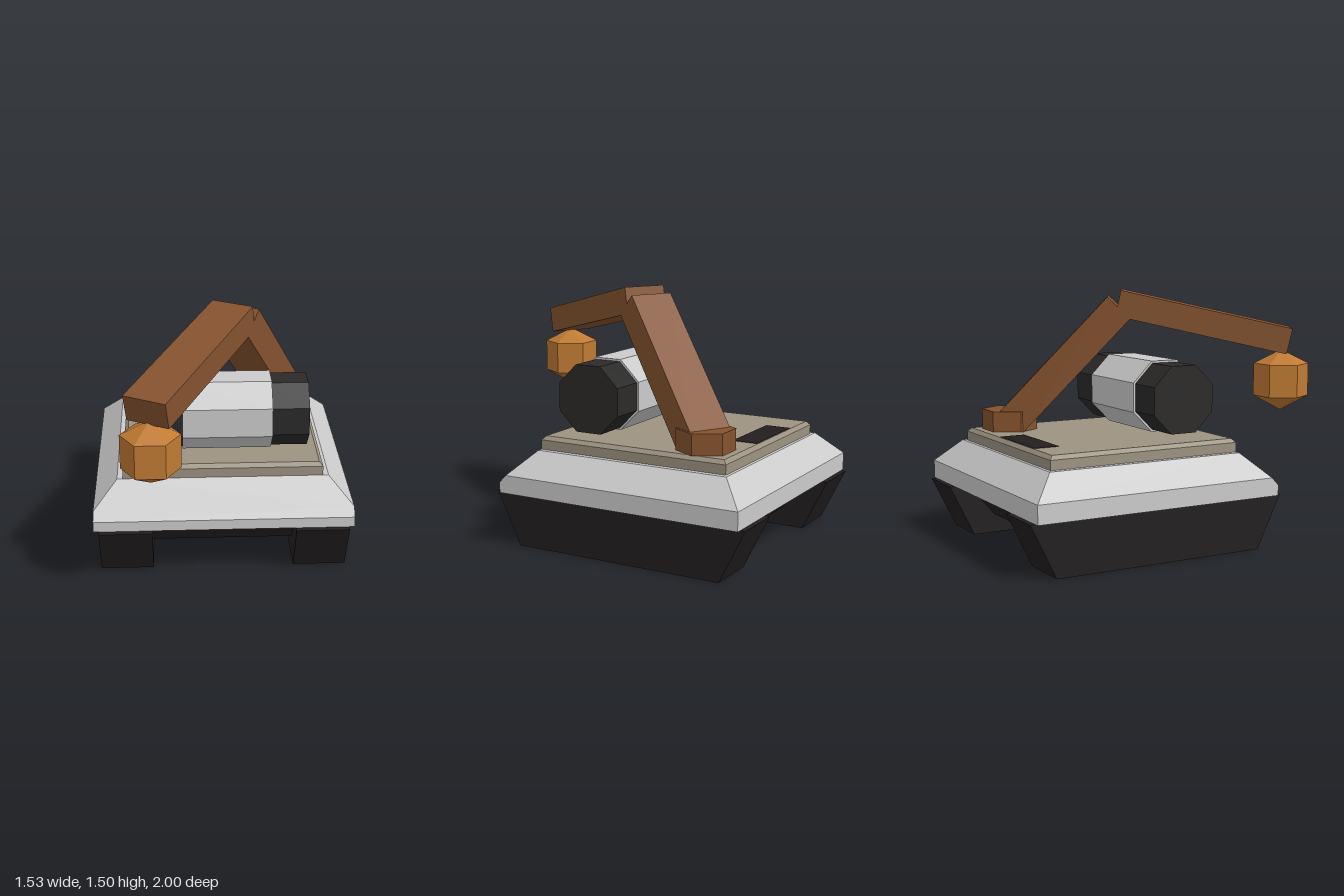
import * as THREE from 'three';
import { ConvexGeometry } from 'three/addons/geometries/ConvexGeometry.js';

const mat = (color) => new THREE.MeshStandardMaterial({ color, flatShading: true });
const grey = mat(0xcccccc);
const dark = mat(0x231f20);
const charcoal = mat(0x2b2a29);
const tan = mat(0x9c9381);
const brown = mat(0x85532f);
const orange = mat(0xc07a33);

function add(parent, name, geometry, material, x = 0, y = 0, z = 0) {
  const mesh = new THREE.Mesh(geometry, material);
  mesh.name = name;
  mesh.position.set(x, y, z);
  parent.add(mesh);
  return mesh;
}

// Solid wrapped around stacked rectangles, each [y, x0, x1, z0, z1]
function stacked(layers) {
  const points = [];
  for (const [y, x0, x1, z0, z1] of layers)
    for (const x of [x0, x1]) for (const z of [z0, z1]) points.push(new THREE.Vector3(x, y, z));
  return new ConvexGeometry(points);
}

// Square beam given by the two ends of its top edge, in the arm's own z-y plane
function beam(arm, name, z0, y0, z1, y1, depth) {
  const dz = z1 - z0, dy = y1 - y0, length = Math.hypot(dz, dy);
  const mesh = add(arm, name, new THREE.BoxGeometry(0.265, depth, length), brown,
    0,
    (y0 + y1) / 2 - (dz / length) * depth / 2,
    (z0 + z1) / 2 + (dy / length) * depth / 2);
  mesh.rotation.x = -Math.atan2(dy, dz);
}

export function createModel() {
  const model = new THREE.Group();
  model.name = 'trackedArmVehicle';

  // Tracks and the belly between them
  for (const side of [1, -1]) {
    const a = side * 0.42, b = side * 0.733;
    add(model, side > 0 ? 'leftTrack' : 'rightTrack', stacked([
      [0, Math.min(a, b), Math.max(a, b), -0.845, 0.47],
      [0.315, Math.min(a, b), Math.max(a, b), -1, 0.625],
    ]), dark);
  }
  add(model, 'belly', stacked([
    [0.115, -0.42, 0.42, -0.71, 0.33],
    [0.315, -0.42, 0.42, -0.88, 0.5],
  ]), dark);

  // Hull with sloped shoulders, lower at the front
  add(model, 'hull', stacked([
    [0.315, -0.765, 0.765, -0.97, 0.59],
    [0.378, -0.765, 0.765, -0.97, 0.59],
    [0.425, -0.765, 0.765, -0.97, 0.545],
    [0.565, -0.625, 0.625, -0.83, 0.405],
  ]), grey);

  // Deck plate and rear vent
  add(model, 'deck', stacked([
    [0.56, -0.592, 0.592, -0.81, 0.405],
    [0.622, -0.592, 0.592, -0.81, 0.405],
    [0.645, -0.57, 0.57, -0.79, 0.383],
  ]), tan);
  add(model, 'rearVent', new THREE.BoxGeometry(0.47, 0.01, 0.155), dark, -0.095, 0.643, -0.707);

  // Octagonal drum: pale sleeve between two dark ends
  const drum = new THREE.Group();
  drum.name = 'drum';
  drum.position.set(0, 0.878, 0.125);
  model.add(drum);
  const drumParts = [
    ['sleeve', -0.235, 0.295, 0.2125, grey],
    ['rightEnd', -0.455, -0.235, 0.2, charcoal],
    ['leftEnd', 0.295, 0.513, 0.2, charcoal],
  ];
  for (const [name, x0, x1, apothem, material] of drumParts) {
    const r = apothem / Math.cos(Math.PI / 8);
    const geometry = new THREE.CylinderGeometry(r, r, x1 - x0, 8)
      .rotateY(Math.PI / 8).rotateZ(Math.PI / 2);
    add(drum, name, geometry, material, (x0 + x1) / 2);
  }

  // Jointed arm reaching diagonally over the drum
  const arm = new THREE.Group();
  arm.name = 'arm';
  arm.position.set(0.42, 0, -0.598);
  arm.rotation.y = -Math.PI / 6;
  model.add(arm);
  beam(arm, 'upperArm', -0.05, 0.763, 0.611, 1.465, 0.19);
  beam(arm, 'forearm', 0.693, 1.505, 1.727, 1.275, 0.158);

  // Hexagonal pivot and hanging pod
  add(model, 'armPivot', new THREE.CylinderGeometry(0.17, 0.17, 0.125, 6).rotateY(Math.PI / 6),
    brown, 0.42, 0.7075, -0.598);
  const podProfile = [[0, 0.765], [0.168, 0.857], [0.168, 1.055], [0, 1.14]]
    .map(([r, y]) => new THREE.Vector2(r, y));
  add(model, 'pod', new THREE.LatheGeometry(podProfile, 6).rotateY(Math.PI / 6),
    orange, -0.415, 0, 0.854);

  return model;
}
